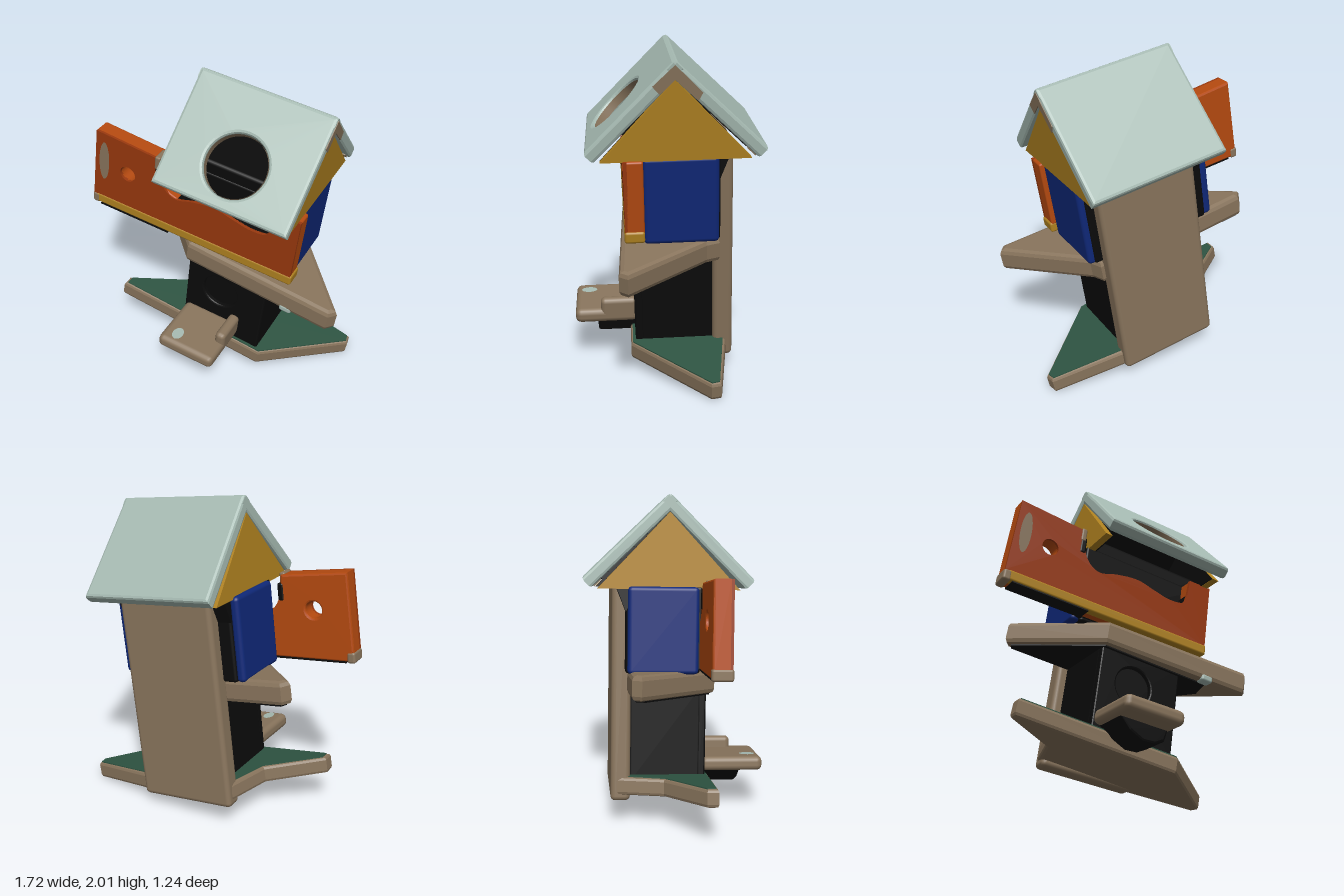
import * as THREE from 'three';
import { RoundedBoxGeometry } from 'three/addons/geometries/RoundedBoxGeometry.js';

const mat = (name, color) => {
  const m = new THREE.MeshStandardMaterial({ color, side: THREE.DoubleSide });
  m.name = name;
  return m;
};

export function createModel() {
  const pale = mat('pale grey green', 0xa5b9b1);
  const wood = mat('brown wood', 0x88745c);
  const orange = mat('orange', 0xb54a10);
  const rust = mat('rust', 0x98380e);
  const yellow = mat('ochre yellow', 0xb08220);
  const blue = mat('deep blue', 0x0f2878);
  const green = mat('dark green', 0x2e5442);
  const black = mat('black', 0x0b0b0b);

  const house = new THREE.Group();
  house.name = 'birdhouse';

  const add = (name, geometry, material, parent = house) => {
    const mesh = new THREE.Mesh(geometry, material);
    mesh.name = name;
    parent.add(mesh);
    return mesh;
  };
  // rounded block given by its limits on each axis
  const block = (name, material, [x0, x1], [y0, y1], [z0, z1], r = 0.02, parent = house) => {
    const mesh = add(name, new RoundedBoxGeometry(x1 - x0, y1 - y0, z1 - z0, 2, r), material, parent);
    mesh.position.set((x0 + x1) / 2, (y0 + y1) / 2, (z0 + z1) / 2);
  };
  const points = (pts) => pts.map(([x, y]) => new THREE.Vector2(x, y));
  const polygon = (pts) => new THREE.Shape(points(pts));
  const circle = (x, y, r) => new THREE.Path().absarc(x, y, r, 0, Math.PI * 2, true);
  // extrusion filling z0..z1, with optional rounded edges
  const extrude = (shape, z0, z1, b = 0) => new THREE.ExtrudeGeometry(shape, {
    depth: z1 - z0 - 2 * b, bevelEnabled: b > 0, bevelThickness: b, bevelSize: b,
    bevelOffset: -b, bevelSegments: 2, curveSegments: 24,
  }).translate(0, 0, z0 + b);
  // flat slab from a plan outline of [x, z] points
  const slab = (pts, y0, y1, b) =>
    extrude(polygon(pts.map(([x, z]) => [x, -z])), y0, y1, b).rotateX(-Math.PI / 2);
  // upright plate from [z, y] points, lying from x - depth to x
  const sidePlate = (pts, x, depth) =>
    extrude(polygon(pts), 0, depth).rotateY(-Math.PI / 2).translate(x, 0, 0);

  // base with two pointed ends and a green top
  const base = new THREE.Group();
  base.name = 'base';
  base.rotation.z = -0.05;
  house.add(base);
  const basePlan = [[-0.73, 0.17], [0.32, 0.18], [0.79, -0.26], [0.78, -0.32], [0.32, -0.4],
    [-0.32, -0.4], [-0.4, -0.12], [-0.73, 0.1]];
  add('baseSlab', slab(basePlan, 0.125, 0.235, 0.02), wood, base);
  const greenPlan = [[-0.71, 0.155], [0.315, 0.168], [0.775, -0.265], [0.765, -0.31], [0.3, -0.385],
    [-0.3, -0.385], [-0.387, -0.11], [-0.71, 0.102]];
  add('greenTop', slab(greenPlan, 0.23, 0.239, 0), green, base);

  // back post
  block('backPost', wood, [-0.31, 0.33], [0.1, 1.48], [-0.44, -0.32], 0.03);

  // lower body, with a shallow round recess in its front
  block('lowerBody', black, [-0.25, 0.3], [0.2, 0.8], [-0.33, 0.12]);
  const front = polygon([[-0.25, 0.2], [0.3, 0.2], [0.3, 0.8], [-0.25, 0.8]]);
  front.holes.push(circle(-0.01, 0.57, 0.12));
  add('lowerFront', extrude(front, 0.1, 0.15, 0.01), black);

  // front perch with a small upright block and a dark brace
  block('perch', wood, [-0.24, 0.15], [0.265, 0.355], [0.13, 0.52], 0.035);
  block('perchBlock', wood, [0.08, 0.15], [0.28, 0.425], [0.13, 0.36], 0.03);
  const brace = polygon([[-0.22, 0.29], [0.13, 0.29], [0.11, 0.2], [0.05, 0.165], [-0.03, 0.16],
    [-0.12, 0.2]]);
  add('perchBrace', extrude(brace, 0.1, 0.38, 0.015), black);
  add('perchSpot', new THREE.CircleGeometry(1, 16).scale(0.035, 0.05, 1).rotateX(-Math.PI / 2)
    .translate(-0.14, 0.358, 0.435), pale);

  // middle shelf, pointed the opposite way to the base, dark underneath
  const shelf = new THREE.Group();
  shelf.name = 'middleShelf';
  shelf.rotation.z = -0.025;
  house.add(shelf);
  const shelfPlan = [[-0.27, 0.2], [0.71, 0.24], [0.75, 0.19], [0.36, -0.28], [0.33, -0.36],
    [-0.69, -0.335], [-0.73, -0.28]];
  add('shelf', slab(shelfPlan, 0.755, 0.905, 0.03), wood, shelf);
  const underPlan = [[-0.26, 0.17], [0.46, 0.17], [0.5, 0.02], [0.32, -0.31], [-0.67, -0.31], [-0.69, -0.27]];
  add('shelfUnderside', slab(underPlan, 0.747, 0.756, 0), black, shelf);
  block('shelfSpot', pale, [0.4, 0.48], [0.745, 0.79], [0.16, 0.232], 0.015, shelf);

  // upper room with blue side walls and dark back corners
  block('upperRoom', black, [-0.4, 0.38], [0.9, 1.5], [-0.36, 0.09]);
  block('roomFront', black, [-0.43, 0.4], [0.92, 1.42], [0.05, 0.095], 0.015);
  block('rightWall', blue, [0.355, 0.415], [0.9, 1.42], [-0.35, 0.085], 0.025);
  block('leftWall', blue, [-0.45, -0.39], [0.9, 1.42], [-0.35, 0.075], 0.025);
  const corner = [[-0.36, 1.27], [-0.29, 1.42], [-0.42, 1.42]];
  add('darkCorner', sidePlate(corner, 0.36, 0.05), black);
  add('darkCorner', sidePlate(corner, -0.29, 0.11), black);

  // long front board: plain left part, wavy cutout in the middle, post on the right
  const wave = points([[0.245, 1.23], [0.14, 1.215], [0.03, 1.235], [-0.1, 1.26],
    [-0.24, 1.24], [-0.36, 1.205]]);
  const notch = points([[-0.44, 1.24], [-0.49, 1.33], [-0.505, 1.45]]);
  const hole = circle(-0.71, 1.24, 0.053);

  const left = new THREE.Shape();
  left.moveTo(-0.36, 0.985);
  left.lineTo(-0.36, 1.205);
  left.splineThru(notch);
  left.lineTo(-0.94, 1.475);
  left.lineTo(-0.955, 0.985);
  left.holes.push(hole);
  add('boardLeft', extrude(left, 0.08, 0.19, 0.012), orange);
  block('boardPost', orange, [0.285, 0.44], [0.98, 1.41], [0.08, 0.19], 0.012);

  const middle = new THREE.Shape();
  middle.moveTo(-0.365, 0.985);
  middle.lineTo(0.29, 0.985);
  middle.lineTo(0.275, 1.3);
  middle.splineThru(wave);
  add('boardMiddle', extrude(middle, 0.08, 0.175), black);

  const face = new THREE.Shape();
  face.moveTo(-0.955, 0.985);
  face.lineTo(0.44, 0.985);
  face.lineTo(0.44, 1.41);
  face.lineTo(0.285, 1.41);
  face.lineTo(0.275, 1.3);
  face.splineThru([...wave, ...notch]);
  face.lineTo(-0.94, 1.475);
  face.holes.push(hole);
  add('frontBoardFace', extrude(face, 0.172, 0.194), rust);

  // dark and worn edge of the notch
  block('notchEdge', black, [-0.52, -0.48], [1.29, 1.4], [0.075, 0.198], 0.012);
  block('notchCorner', wood, [-0.525, -0.488], [1.37, 1.462], [0.1, 0.2], 0.012);

  // lower edge of the board
  block('boardTrim', yellow, [-0.94, 0.45], [0.925, 0.995], [0.14, 0.198], 0.015);
  block('boardTrimEnd', yellow, [0.1, 0.45], [0.925, 0.995], [0.08, 0.18], 0.015);
  block('boardBack', orange, [-0.95, -0.2], [0.93, 1.01], [0.08, 0.16], 0.012);
  block('boardCorner', wood, [-0.962, -0.91], [0.92, 0.99], [0.075, 0.2], 0.015);
  add('boardUnderside', new THREE.BoxGeometry(0.5, 0.008, 0.11).translate(-0.65, 0.922, 0.143), black);
  add('boardPatch', new THREE.CircleGeometry(1, 24).scale(0.036, 0.14, 1)
    .translate(-0.88, 1.27, 0.197), wood);

  // gables, dark on the inside
  const gable = [[-0.53, 1.405], [-0.105, 1.86], [0.32, 1.405]];
  for (const s of [-1, 1]) {
    add('gable', sidePlate(gable, s > 0 ? 0.42 : -0.375, 0.045), yellow);
    add('gableLining', sidePlate(gable, s > 0 ? 0.374 : -0.366, 0.008), black);
  }

  // two roof slopes meeting at the ridge, the front one with a round opening
  const rect = [[-0.43, -0.725], [0.43, -0.725], [0.43, -0.005], [-0.43, -0.005]];
  for (const side of ['front', 'back']) {
    const turn = new THREE.Group();
    turn.name = side + 'Roof';
    turn.position.set(0.005, 1.972, -0.106);
    turn.rotation.y = side === 'front' ? 0 : Math.PI;
    house.add(turn);
    const slope = new THREE.Group();
    slope.rotation.x = -0.795;
    turn.add(slope);
    const shape = polygon(rect);
    if (side === 'front') {
      shape.holes.push(circle(0, -0.462, 0.19));
      add('openingRim', new THREE.CylinderGeometry(0.186, 0.186, 0.05, 40, 1, true)
        .rotateX(Math.PI / 2).translate(0, -0.462, -0.04), wood, slope);
    } else {
      add('roofLining', new THREE.BoxGeometry(0.74, 0.55, 0.008).translate(0, -0.365, -0.085), black, slope);
      add('eaveUnderside', new THREE.BoxGeometry(0.82, 0.06, 0.008).translate(0, -0.675, -0.083), wood, slope);
    }
    add('roofSlope', extrude(shape, -0.08, 0, 0.018), pale, slope);
  }
  // worn patch at the ridge end
  add('ridgePatch', sidePlate([[-0.106, 1.945], [0.02, 1.83], [-0.02, 1.785], [-0.106, 1.865],
    [-0.23, 1.745], [-0.255, 1.79]], 0.439, 0.008), wood);

  // the whole house leans and is turned
  const u = new THREE.Vector3(0.933, -0.13, 0.335).normalize();
  const w = u.clone().cross(new THREE.Vector3(0.11, 0.99, 0.07)).normalize();
  const v = w.clone().cross(u);
  house.quaternion.setFromRotationMatrix(new THREE.Matrix4().makeBasis(u, v, w));

  const model = new THREE.Group();
  model.add(house);
  return model;
}
